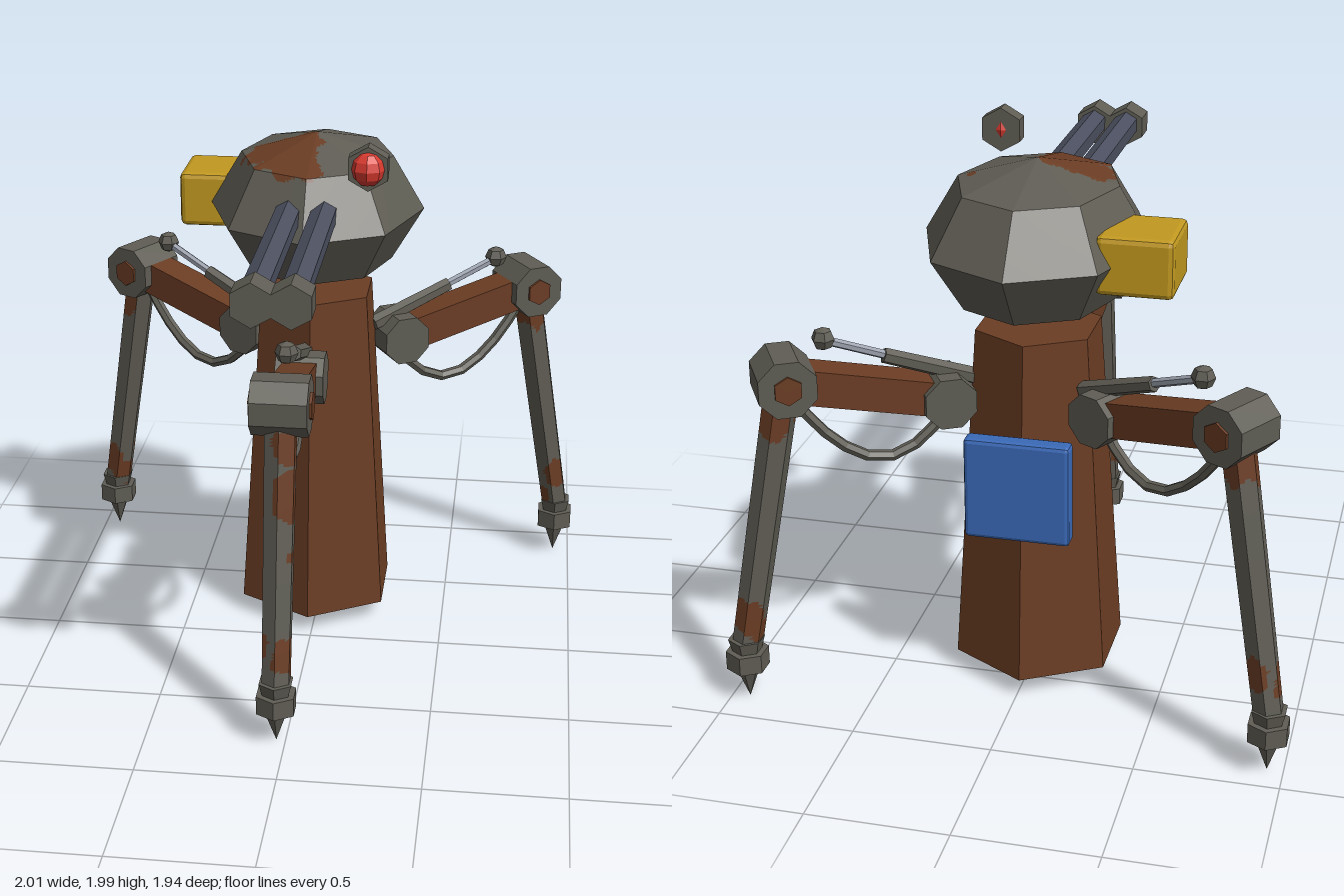
import * as THREE from 'three';
import { RoundedBoxGeometry } from 'three/addons/geometries/RoundedBoxGeometry.js';

const AXIS_X = -0.013, AXIS_Z = -0.335;

function mat(name, color) {
  const m = new THREE.MeshStandardMaterial({ color, flatShading: true });
  m.name = name;
  return m;
}

export function createModel() {
  const steel = mat('weathered steel', 0x5f5d54);
  const rust = mat('rust', 0x6b3d24);
  const gunmetal = mat('gunmetal', 0x4c5060);
  const chrome = mat('bright rod', 0x9ba1ad);
  const yellow = mat('yellow', 0xc1981f);
  const blue = mat('blue', 0x3a6ab8);
  const red = mat('red', 0xd93a30);

  const root = new THREE.Group();
  root.name = 'tripodTurret';

  function add(parent, name, geo, material, x = 0, y = 0, z = 0) {
    const m = new THREE.Mesh(geo, material);
    m.name = name;
    m.position.set(x, y, z);
    parent.add(m);
    return m;
  }

  // Tapered prism running from point a to point b
  function strut(parent, name, a, b, r0, r1, sides, material) {
    const p = new THREE.Vector3(...a), q = new THREE.Vector3(...b);
    const d = q.clone().sub(p);
    const m = add(parent, name, new THREE.CylinderGeometry(r1, r0, d.length(), sides, 1), material);
    m.position.copy(p).add(q).multiplyScalar(0.5);
    m.quaternion.setFromUnitVectors(new THREE.Vector3(0, 1, 0), d.normalize());
    return m;
  }

  // Subdivide flat faces and split them into steel and rust (blobs are [x, y, z, radius])
  function rusted(geo, n, blobs) {
    const src = (geo.index ? geo.toNonIndexed() : geo).attributes.position;
    const lists = [[], []];
    const c = new THREE.Vector3();
    const isRust = (p) => blobs.some(([x, y, z, r]) =>
      Math.hypot(p.x - x, p.y - y, p.z - z) < r * (1 + 0.13 * Math.sin(61 * p.x + 37 * p.y) + 0.1 * Math.cos(83 * p.z)));
    for (let i = 0; i < src.count; i += 3) {
      const [A, B, C] = [0, 1, 2].map((k) => new THREE.Vector3().fromBufferAttribute(src, i + k));
      const at = (u, v) => A.clone().addScaledVector(B.clone().sub(A), u / n).addScaledVector(C.clone().sub(A), v / n);
      const emit = (p, q, r) => {
        c.copy(p).add(q).add(r).divideScalar(3);
        for (const w of [p, q, r]) lists[isRust(c) ? 1 : 0].push(w.x, w.y, w.z);
      };
      for (let u = 0; u < n; u++) for (let v = 0; u + v < n; v++) {
        emit(at(u, v), at(u + 1, v), at(u, v + 1));
        if (u + v < n - 1) emit(at(u + 1, v), at(u + 1, v + 1), at(u, v + 1));
      }
    }
    const out = new THREE.BufferGeometry();
    out.setAttribute('position', new THREE.Float32BufferAttribute(lists[0].concat(lists[1]), 3));
    out.addGroup(0, lists[0].length / 3, 0);
    out.addGroup(lists[0].length / 3, lists[1].length / 3, 1);
    out.computeVertexNormals();
    return out;
  }

  // Central column
  add(root, 'column', new THREE.CylinderGeometry(0.23, 0.317, 1.26, 6), rust, AXIS_X, 0.70, AXIS_Z);

  // Faceted head with rust patches
  const headGeo = new THREE.SphereGeometry(1, 8, 4).scale(0.4, 0.28, 0.49);
  add(root, 'head', rusted(headGeo, 18, [
    [-0.16, 0.23, 0.09, 0.11], [-0.06, 0.25, 0.07, 0.1], [-0.08, 0.22, 0.2, 0.11],
    [-0.01, 0.2, 0.28, 0.07], [0.23, 0.2, -0.02, 0.022], [0, -0.25, 0.16, 0.13],
  ]), [steel, rust], AXIS_X, 1.65, AXIS_Z);

  // Twin barrels with muzzles
  for (const x of [-0.075, 0.053]) {
    strut(root, 'barrel', [x, 1.725, -0.1], [x, 1.725, 0.94], 0.05, 0.05, 6, gunmetal);
    strut(root, 'muzzle', [x, 1.715, 0.855], [x, 1.715, 0.965], 0.076, 0.076, 6, steel);
  }

  // Floating sensor eye
  strut(root, 'eyeHousing', [0.212, 1.912, 0.022], [0.212, 1.912, 0.085], 0.08, 0.08, 6, steel);
  add(root, 'eyeLens', new THREE.SphereGeometry(0.062, 8, 6), red, 0.212, 1.912, 0.076);

  // Side ammunition box and rear panel
  add(root, 'ammoBox', new RoundedBoxGeometry(0.265, 0.205, 0.275, 1, 0.02), yellow, -0.4, 1.652, -0.465);
  add(root, 'rearPanel', new RoundedBoxGeometry(0.375, 0.375, 0.07, 1, 0.015), blue, AXIS_X, 0.828, -0.64);

  // One leg reaching along +z from the column axis
  const KNEE = [0, 1.215, 0.9], HIP = [0, 1.09, 0.335], FOOT = [0, 0.2, 1.085];

  function crossPin(parent, name, [x, y, z], r, len, sides, material) {
    const g = new THREE.CylinderGeometry(r, r, len, sides, 1).rotateY(Math.PI / sides).rotateZ(Math.PI / 2);
    return add(parent, name, g, material, x, y, z);
  }

  function makeLeg(name, extraRust) {
    const leg = new THREE.Group();
    leg.name = name;

    // Hip, upper arm and knee
    crossPin(leg, 'hipJoint', HIP, 0.098, 0.18, 8, steel);
    const arm = strut(leg, 'upperArm', HIP, KNEE, 0.1, 0.1, 4, rust);
    arm.geometry.dispose();
    arm.geometry = new THREE.BoxGeometry(0.125, 0.58, 0.125);
    crossPin(leg, 'kneeJoint', KNEE, 0.108, 0.2, 8, steel);
    crossPin(leg, 'kneeBolt', KNEE, 0.052, 0.22, 6, rust);

    // Shin with rust patches
    const shin = strut(leg, 'shin', FOOT, KNEE, 0.055, 0.062, 6, [steel, rust]);
    const len = shin.geometry.parameters.height;
    shin.geometry = rusted(new THREE.CylinderGeometry(0.062, 0.055, len, 6, 30), 3, [
      [0.05, -0.38, 0.03, 0.075], [0.02, -0.44, -0.05, 0.06], [-0.05, -0.33, 0, 0.06],
      [0.04, 0.38, 0.03, 0.07], ...extraRust,
    ]);

    // Ankle collar and ground spike
    const fz = FOOT[2];
    add(leg, 'ankleFlare', new THREE.CylinderGeometry(0.066, 0.05, 0.06, 6), steel, 0, 0.21, fz);
    add(leg, 'ankleCollar', new THREE.CylinderGeometry(0.077, 0.077, 0.07, 6), steel, 0, 0.158, fz);
    add(leg, 'footSpike', new THREE.ConeGeometry(0.046, 0.125, 6).rotateX(Math.PI), steel, 0, 0.0625, fz);

    // Hydraulic piston
    strut(leg, 'pistonSleeve', [0, 1.15, 0.23], [0, 1.265, 0.55], 0.032, 0.028, 6, steel);
    strut(leg, 'pistonRod', [0, 1.25, 0.5], [0, 1.345, 0.755], 0.016, 0.016, 6, chrome);
    add(leg, 'pistonBall', new THREE.SphereGeometry(0.042, 6, 4), steel, 0, 1.35, 0.757);

    // Hanging hose
    const path = [[1.05, 0.32], [0.95, 0.405], [0.89, 0.5], [0.885, 0.59], [0.935, 0.69], [1.03, 0.79], [1.15, 0.875]];
    const curve = new THREE.CatmullRomCurve3(path.map(([y, z]) => new THREE.Vector3(0, y, z)));
    add(leg, 'hose', new THREE.TubeGeometry(curve, 8, 0.02, 6), steel);
    return leg;
  }

  // Three legs spaced evenly around the column, each slightly off the radial line
  const variants = [
    ['frontLeg', [[0.04, 0.17, 0.04, 0.07], [0.04, 0.24, 0.04, 0.06], [0.05, -0.02, 0.02, 0.025]]],
    ['leftLeg', [[-0.04, 0.42, 0, 0.08]]],
    ['rightLeg', [[-0.04, 0.4, 0.02, 0.07]]],
  ];
  variants.forEach(([name, extraRust], i) => {
    const pivot = new THREE.Group();
    pivot.name = name + 'Mount';
    pivot.position.set(AXIS_X, 0, AXIS_Z);
    pivot.rotation.y = (i * Math.PI * 2) / 3;
    const leg = makeLeg(name, extraRust);
    leg.position.x = -0.02;
    pivot.add(leg);
    root.add(pivot);
  });

  return root;
}
